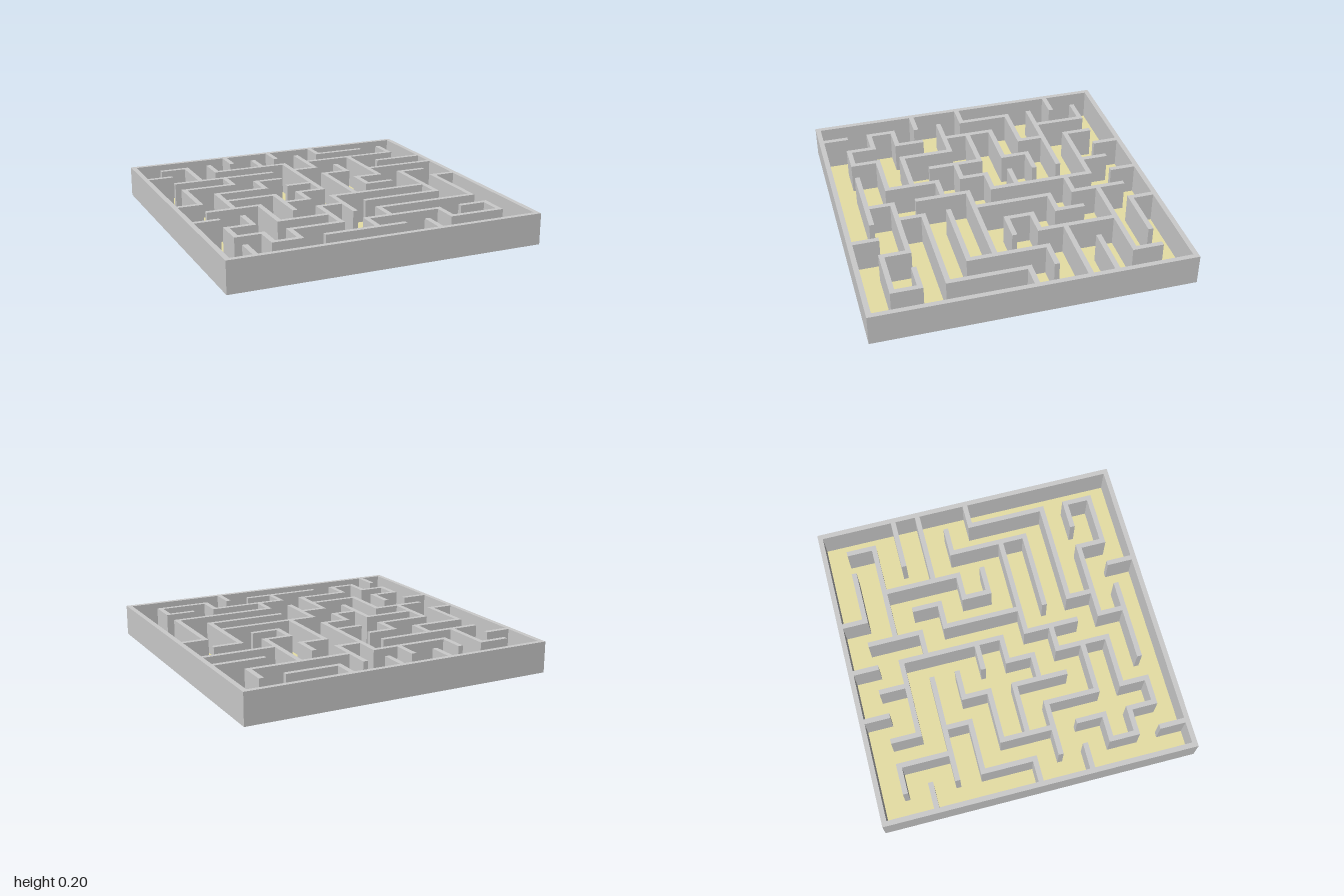
import * as THREE from 'three';

const CELLS = 12, STEP = 0.164, THICK = 0.032, HEIGHT = 0.2, LIFT = 0.002;

// Walls running along x: for each grid row, [from, to] in grid posts
const ROWS = [
  [[0, 12]],
  [[1, 2], [8, 10]],
  [[0, 1], [3, 6], [7, 11]],
  [[1, 5], [6, 7], [10, 12]],
  [[1, 3], [4, 5], [7, 8], [9, 12]],
  [[2, 4], [5, 6], [8, 9], [10, 11]],
  [[0, 1], [2, 4], [5, 6], [8, 9], [11, 12]],
  [[1, 3], [4, 5], [6, 10]],
  [[0, 1], [5, 6], [7, 10]],
  [[1, 2], [3, 5], [7, 11]],
  [[1, 2], [3, 5], [6, 9], [10, 11]],
  [[2, 3], [4, 7], [9, 11]],
  [[0, 12]],
];

// Walls running along z: for each grid column, [from, to] in grid posts
const COLUMNS = [
  [[0, 12]],
  [[4, 6], [9, 10], [11, 12]],
  [[1, 3], [5, 7], [8, 9], [10, 11]],
  [[1, 2], [3, 4], [7, 9], [10, 11]],
  [[0, 1], [4, 5], [6, 8]],
  [[1, 2], [6, 7], [8, 10]],
  [[0, 1], [2, 6], [7, 9], [10, 11]],
  [[1, 3], [4, 7], [9, 10]],
  [[0, 1], [3, 4], [5, 6], [11, 12]],
  [[2, 5], [10, 11]],
  [[5, 8]],
  [[1, 2], [6, 9], [10, 11]],
  [[0, 12]],
];

const post = (i) => (i - CELLS / 2) * STEP;

export function createModel() {
  const model = new THREE.Group();
  model.name = 'maze';
  const wallMaterial = new THREE.MeshStandardMaterial({ color: 0xcccccc });
  const floorMaterial = new THREE.MeshStandardMaterial({ color: 0xe6dfa4, side: THREE.DoubleSide });

  // Floor sheet, reaching to the middle of the outer walls
  const floor = new THREE.Mesh(new THREE.PlaneGeometry(CELLS * STEP, CELLS * STEP), floorMaterial);
  floor.rotation.x = -Math.PI / 2;
  floor.name = 'floor';
  model.add(floor);

  const outerWalls = new THREE.Group();
  outerWalls.name = 'outerWalls';
  const innerWalls = new THREE.Group();
  innerWalls.name = 'innerWalls';
  model.add(outerWalls, innerWalls);

  // One straight wall; its ends cover the corner posts
  function addWall(line, from, to, alongX) {
    const length = (to - from) * STEP + THICK;
    const middle = (post(from) + post(to)) / 2;
    const height = HEIGHT - LIFT;
    const wall = new THREE.Mesh(
      new THREE.BoxGeometry(alongX ? length : THICK, height, alongX ? THICK : length),
      wallMaterial
    );
    wall.position.set(alongX ? middle : post(line), LIFT + height / 2, alongX ? post(line) : middle);
    const outer = line === 0 || line === CELLS;
    wall.name = outer ? 'outerWall' : 'innerWall';
    (outer ? outerWalls : innerWalls).add(wall);
  }

  ROWS.forEach((runs, line) => runs.forEach(([from, to]) => addWall(line, from, to, true)));
  COLUMNS.forEach((runs, line) => runs.forEach(([from, to]) => addWall(line, from, to, false)));

  return model;
}
